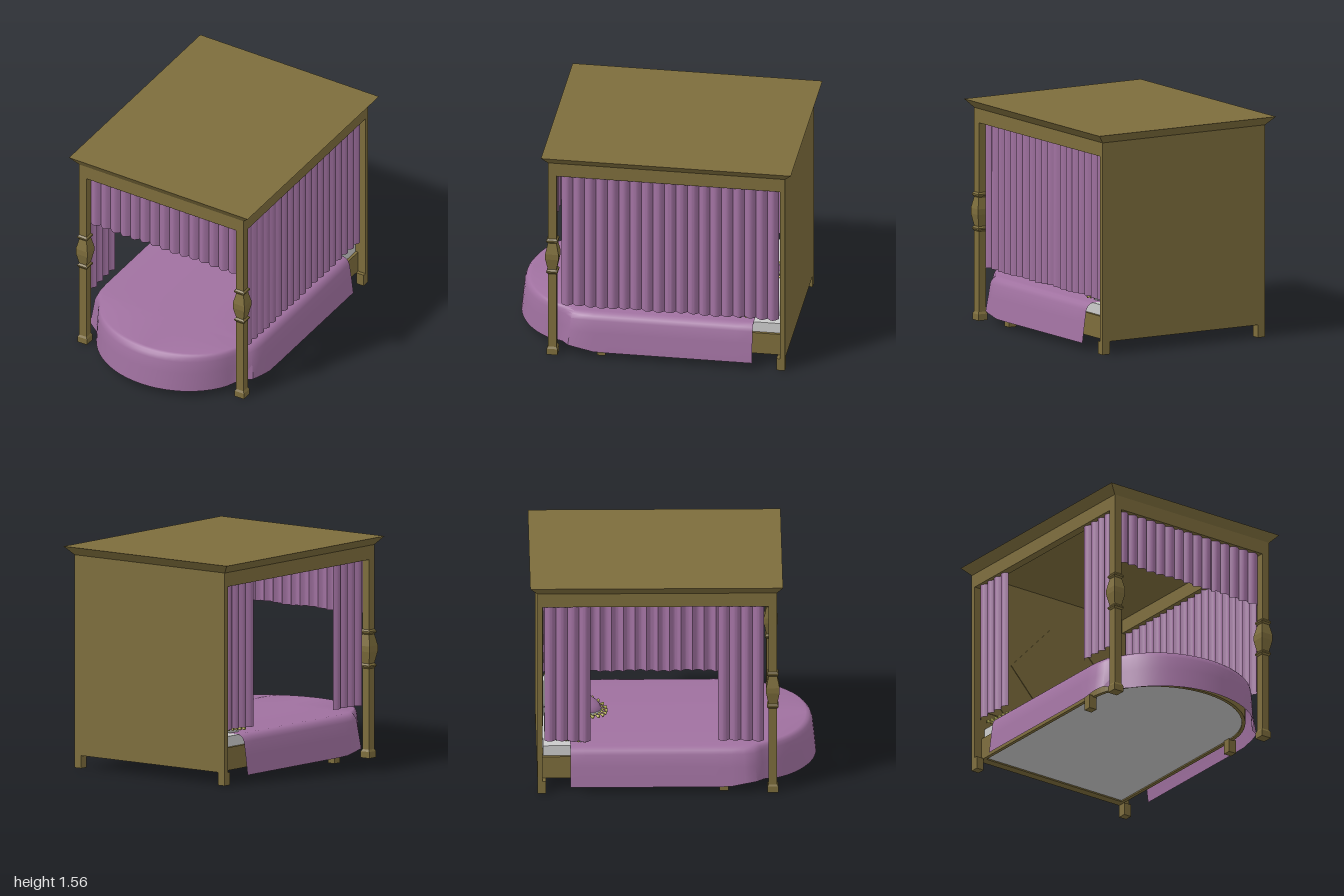
import * as THREE from 'three';
import { toCreasedNormals } from 'three/addons/utils/BufferGeometryUtils.js';
import { RoundedBoxGeometry } from 'three/addons/geometries/RoundedBoxGeometry.js';

const mat = (color, opts = {}) => new THREE.MeshStandardMaterial({ color, ...opts });
const wood = mat(0x7d6d3c, { flatShading: true });
const cloth = mat(0xa071a0, { side: THREE.DoubleSide });
const gold = mat(0xc4bd62);
const linen = mat(0xcccccc);

export function createModel() {
  const root = new THREE.Group();
  const add = (name, geo, material, x = 0, y = 0, z = 0, parent = root) => {
    const m = new THREE.Mesh(geo, material);
    m.name = name;
    m.position.set(x, y, z);
    parent.add(m);
    return m;
  };
  // box given by its limits
  const box = (name, x0, x1, y0, y1, z0, z1, material = wood) =>
    add(name, new THREE.BoxGeometry(x1 - x0, y1 - y0, z1 - z0), material,
      (x0 + x1) / 2, (y0 + y1) / 2, (z0 + z1) / 2);

  // Canopy: flared cornice over a ring of beams
  const cornice = new THREE.BoxGeometry(1.456, 0.06, 1.76);
  const cp = cornice.attributes.position;
  for (let i = 0; i < cp.count; i++) {
    if (cp.getY(i) < 0) {
      cp.setX(i, Math.sign(cp.getX(i)) * 0.67);
      cp.setZ(i, Math.sign(cp.getZ(i)) * 0.835 + 0.005);
    }
  }
  add('cornice', cornice, wood, 0, 1.53, -0.12);
  box('frontBeam', -0.67, 0.67, 1.4, 1.5, 0.66, 0.72);
  for (const s of [-1, 1]) {
    const x = s * 0.64;
    box('sideBeam', x - 0.03, x + 0.03, 1.4, 1.5, -0.95, 0.66);
  }

  // Headboard with panel and diamonds
  box('headboard', -0.67, 0.67, 0.09, 1.5, -0.95, -0.915);
  box('headboardPanel', -0.56, 0.56, 0.46, 1.3, -0.915, -0.91);
  const diamond = (x, y, w, h) => {
    const g = new THREE.CylinderGeometry(1, 1, 0.005, 4).rotateX(Math.PI / 2).scale(w, h, 1);
    add('headboardDiamond', g, wood, x, y, -0.9075);
  };
  diamond(0, 0.88, 0.36, 0.39);
  for (const s of [-1, 1]) for (const y of [0.615, 1.145]) diamond(s * 0.42, y, 0.12, 0.13);

  // Turned square front posts: [half width, height]
  const profile = [[0, 0], [0.038, 0], [0.038, 0.045], [0.03, 0.06], [0.03, 0.63], [0.04, 0.643],
    [0.04, 0.652], [0.03, 0.665], [0.047, 0.75], [0.047, 0.79], [0.03, 0.87], [0.04, 0.882],
    [0.04, 0.893], [0.03, 0.905], [0.03, 1.4]];
  const postGeo = new THREE.LatheGeometry(
    profile.map(([r, y]) => new THREE.Vector2(r * Math.SQRT2, y)), 4, Math.PI / 4);
  for (const s of [-1, 1]) {
    add('frontPost', postGeo, wood, s * 0.64, 0, 0.69);
    const x = s * 0.64, m = s * 0.605;
    box('rearLeg', x - 0.03, x + 0.03, 0, 0.09, -0.95, -0.89);
    box('middleLeg', m - 0.03, m + 0.03, 0, 0.1, 0.32, 0.38);
  }

  // Bed frame, underside and mattress share a round-ended plan
  const plan = (a, c, back, Type = THREE.Shape) => {
    const p = new Type();
    p.moveTo(-a, back);
    p.lineTo(a, back);
    p.lineTo(a, 0.35);
    p.absellipse(0, 0.35, a, c, 0, Math.PI, false);
    p.closePath();
    return p;
  };
  const slab = (name, shape, y0, y1, material) => add(name, new THREE.ExtrudeGeometry(shape,
    { depth: y1 - y0, bevelEnabled: false, curveSegments: 24 }).rotateX(Math.PI / 2), material, 0, y1, 0);
  const rim = plan(0.61, 0.56, -0.915);
  rim.holes.push(plan(0.585, 0.535, -0.89, THREE.Path));
  slab('bedFrame', rim, 0.09, 0.25, wood);
  slab('bedBase', plan(0.585, 0.535, -0.89), 0.1, 0.25, linen);
  slab('mattress', plan(0.59, 0.55, -0.91), 0.25, 0.325, linen);

  // Bedspread: half outline of [hem x, hem z, top x, top z], then mirrored
  const half = [];
  for (let i = 0; i <= 10; i++) {
    const z = -0.72 + 1.12 * i / 10;
    half.push([0.69, z, 0.6, z]);
  }
  half.push([0.685, 0.5, 0.595, 0.47], [0.665, 0.58, 0.585, 0.53], [0.59, 0.63, 0.57, 0.57]);
  for (let i = 0; i <= 12; i++) {
    const t = 0.4 + (Math.PI / 2 - 0.4) * i / 12;
    half.push([0.61 * Math.cos(t), 0.45 + 0.55 * Math.sin(t),
      0.585 * Math.cos(t), 0.45 + 0.48 * Math.sin(t)]);
  }
  const outline = [...half, ...half.slice(0, -1).reverse().map(([a, b, c, d]) => [-a, b, -c, d])];
  const levels = [[1, 0.05], [0.8, 0.19], [0.65, 0.28], [0.5, 0.308], [0.28, 0.324], [0, 0.33]];
  const pos = [], idx = [], rows = levels.length + 1;
  outline.forEach(([hx, hz, tx, tz], c) => {
    levels.forEach(([f, y], r) => {
      const lift = r ? 0 : 0.03 * Math.exp(-(((hz - 0.56) / 0.1) ** 2));
      pos.push(tx + (hx - tx) * f, y + lift, tz + (hz - tz) * f);
    });
    pos.push(0, 0.33, tz);
    if (!c) return;
    for (let r = 0; r < rows - 1; r++) {
      const a = (c - 1) * rows + r, b = a + rows;
      idx.push(a, a + 1, b, b, a + 1, b + 1);
    }
  });
  const spread = new THREE.BufferGeometry();
  spread.setAttribute('position', new THREE.Float32BufferAttribute(pos, 3));
  spread.setIndex(idx);
  add('bedspread', toCreasedNormals(spread, 0.7), cloth);

  // Pleated curtains hanging from the beams
  const curtain = (name, width, y0, pleats, x, z, turn) => {
    const g = new THREE.PlaneGeometry(width, 1.4 - y0, pleats * 10, 1);
    const p = g.attributes.position;
    for (let i = 0; i < p.count; i++) {
      const u = (p.getX(i) / width + 0.5) * pleats;
      p.setZ(i, 0.028 * Math.abs(Math.sin(u * Math.PI)) - 0.014);
      if (p.getY(i) < 0) p.setY(i, p.getY(i) + 0.004 * Math.sin(u * 1.3));
    }
    add(name, toCreasedNormals(g, 0.9), cloth, x, (1.4 + y0) / 2, z).rotation.y = turn;
  };
  curtain('frontValance', 1.2, 1.01, 15, 0, 0.69, 0);
  curtain('leftCurtain', 1.53, 0.38, 19, 0.64, -0.135, Math.PI / 2);
  curtain('rightRearCurtain', 0.32, 0.38, 4, -0.64, -0.74, -Math.PI / 2);
  curtain('rightFrontCurtain', 0.32, 0.38, 4, -0.64, 0.47, -Math.PI / 2);

  // Tassel pointing along +x
  const tasselGeo = new THREE.LatheGeometry([[0, 0], [0.006, 0], [0.01, 0.008], [0.005, 0.016],
    [0.013, 0.045], [0, 0.047]].map(([r, y]) => new THREE.Vector2(r, y)), 8).rotateZ(-Math.PI / 2);

  // Two flat pillows with tassels along the outer ends
  for (const s of [-1, 1]) {
    const pillow = new THREE.Group();
    pillow.name = 'pillow';
    pillow.position.set(s * 0.275, 0.368, -0.75);
    pillow.rotation.x = 0.08;
    root.add(pillow);
    add('pillowBody', new RoundedBoxGeometry(0.54, 0.075, 0.3, 4, 0.035), linen, 0, 0, 0, pillow);
    for (let i = 0; i < 7; i++) {
      const t = add('pillowTassel', tasselGeo, gold, s * 0.265, 0, -0.13 + i * 0.26 / 6, pillow);
      t.rotation.y = s > 0 ? 0 : Math.PI;
    }
  }

  // Round tilted cushion with button, piping and tassels
  const cushion = new THREE.Group();
  cushion.name = 'roundCushion';
  cushion.position.set(0, 0.395, -0.66);
  cushion.rotation.x = 0.23;
  root.add(cushion);
  add('cushionBody', new THREE.SphereGeometry(1, 32, 16).scale(0.165, 0.07, 0.165), cloth, 0, 0, 0, cushion);
  add('cushionPiping', new THREE.TorusGeometry(0.162, 0.009, 8, 32).rotateX(Math.PI / 2), linen, 0, 0, 0, cushion);
  for (const s of [-1, 1]) {
    add('cushionButton', new THREE.SphereGeometry(1, 20, 10).scale(0.075, 0.014, 0.075), gold, 0, s * 0.062, 0, cushion);
  }
  for (let i = 0; i < 24; i++) {
    const a = i * Math.PI / 12;
    const t = add('cushionTassel', tasselGeo, gold, 0.166 * Math.cos(a), 0, -0.166 * Math.sin(a), cushion);
    t.rotation.y = a;
  }
  return root;
}
